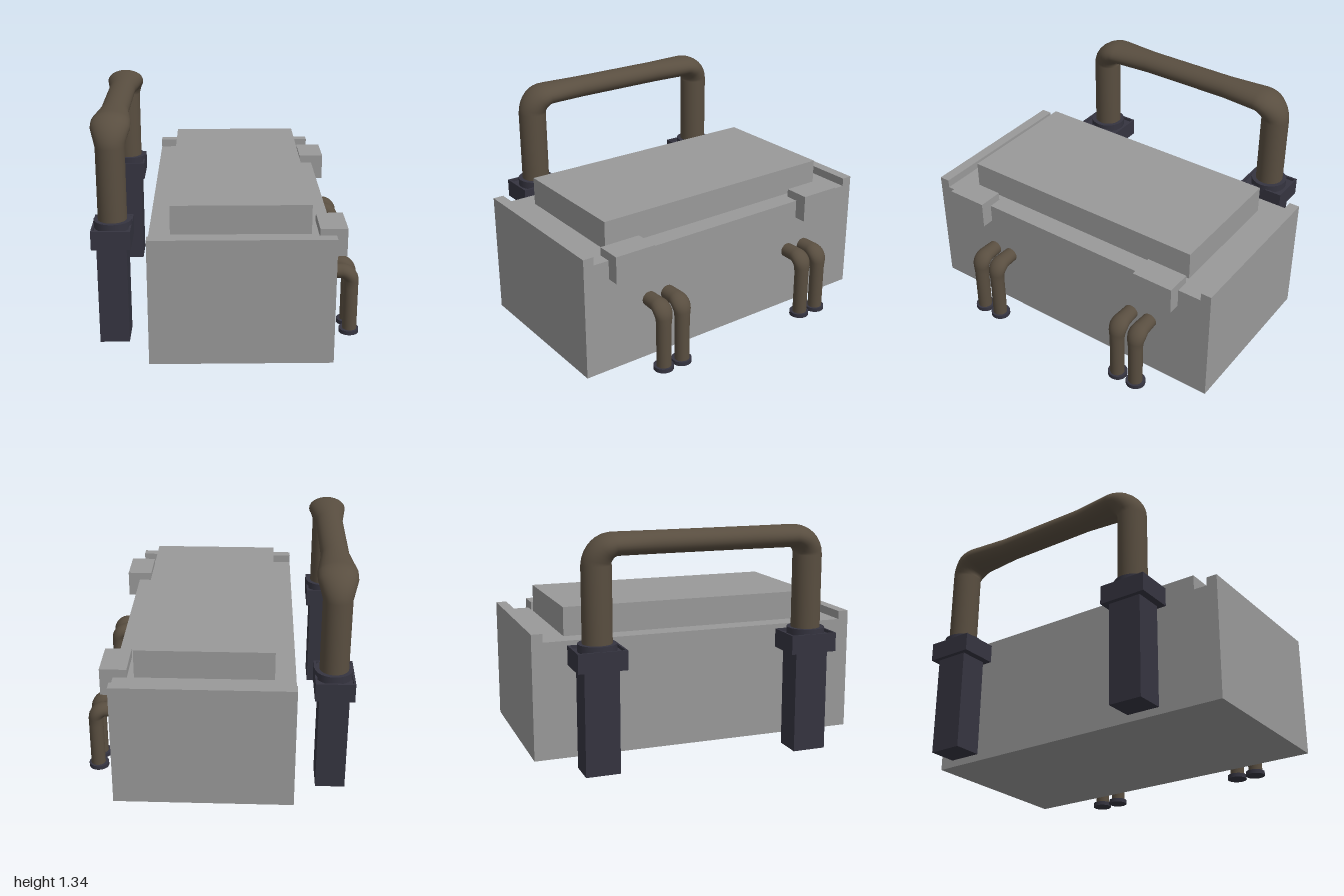
import * as THREE from 'three';

const V = (x, y, z) => new THREE.Vector3(x, y, z);

// Oval pipe swept along a planar path; w is the unit vector across the bend plane.
// Each station: { p: centre, t: tangent, a: in-plane radius, b: radius along w }
function sweep(stations, w, sides) {
  const pos = [], idx = [];
  stations.forEach(({ p, t, a, b }, i) => {
    const n = w.clone().cross(t).normalize();
    for (let j = 0; j < sides; j++) {
      const th = (j / sides) * Math.PI * 2;
      const q = p.clone().addScaledVector(n, Math.cos(th) * a).addScaledVector(w, Math.sin(th) * b);
      pos.push(q.x, q.y, q.z);
      if (i === stations.length - 1) continue;
      const k = i * sides + j, k1 = i * sides + (j + 1) % sides;
      idx.push(k, k1, k + sides, k1, k1 + sides, k + sides);
    }
  });
  const g = new THREE.BufferGeometry();
  g.setAttribute('position', new THREE.Float32BufferAttribute(pos, 3));
  g.setIndex(idx);
  g.computeVertexNormals();
  return g;
}

// Quarter bend stations from p0 (heading d0) to p1 (heading d1), radii blended by shape(s)
function bend(p0, d0, p1, d1, shape, steps = 8) {
  const out = [];
  const delta = p1.clone().sub(p0);
  const u = Math.abs(delta.dot(d0)), v = Math.abs(delta.dot(d1));
  for (let i = 0; i <= steps; i++) {
    const s = i / steps, th = s * Math.PI / 2;
    const p = p0.clone().addScaledVector(d0, u * Math.sin(th)).addScaledVector(d1, v * (1 - Math.cos(th)));
    const t = d0.clone().multiplyScalar(Math.cos(th)).addScaledVector(d1, Math.sin(th));
    out.push({ p, t, ...shape(s) });
  }
  return out;
}

export function createModel() {
  const model = new THREE.Group();
  const grey = new THREE.MeshStandardMaterial({ color: 0x999999 });
  grey.name = 'casing grey';
  const brown = new THREE.MeshStandardMaterial({ color: 0x594e40 });
  brown.name = 'pipe brown';
  const dark = new THREE.MeshStandardMaterial({ color: 0x353440 });
  dark.name = 'post dark';

  const add = (name, geo, mat, parent = model) => {
    const m = new THREE.Mesh(geo, mat);
    m.name = name;
    parent.add(m);
    return m;
  };
  const box = (name, mat, x0, x1, y0, y1, z0, z1) => {
    const m = add(name, new THREE.BoxGeometry(x1 - x0, y1 - y0, z1 - z0), mat);
    m.position.set((x0 + x1) / 2, (y0 + y1) / 2, (z0 + z1) / 2);
    return m;
  };
  const disc = (name, r, y0, y1, x, z) => {
    const m = add(name, new THREE.CylinderGeometry(r, r, y1 - y0, 24), dark);
    m.position.set(x, (y0 + y1) / 2, z);
  };

  // Casing: side profile with raised lips at both ends, extruded across x
  const profile = new THREE.Shape([
    [-1, 0.02], [1, 0.02], [1, 0.76], [0.935, 0.76], [0.935, 0.71],
    [-0.935, 0.71], [-0.935, 0.76], [-1, 0.76],
  ].map(([z, y]) => new THREE.Vector2(-z, y)));
  const casing = add('casing', new THREE.ExtrudeGeometry(profile, { depth: 1.03, bevelEnabled: false }), grey);
  casing.rotation.y = Math.PI / 2;
  casing.position.x = -0.45;
  box('lid', grey, -0.33, 0.46, 0.7, 0.88, -0.785, 0.785);
  box('frontClamp', grey, 0.5, 0.655, 0.597, 0.76, 0.585, 0.84);
  box('backClamp', grey, 0.5, 0.655, 0.597, 0.76, -0.79, -0.535);

  // Posts with shallow recessed caps and pipe collars
  const px = -0.667, ends = [['front', 0.592], ['back', -0.68]];
  for (const [side, z] of ends) {
    box(side + 'Post', dark, px - 0.086, px + 0.086, 0, 0.6, z - 0.1, z + 0.1);
    box(side + 'PostCap', dark, px - 0.112, px + 0.112, 0.597, 0.69, z - 0.141, z + 0.141);
    const rim = new THREE.Shape([[-1, -1], [1, -1], [1, 1], [-1, 1]]
      .map(([x, y]) => new THREE.Vector2(x * 0.112, y * 0.141)));
    rim.holes.push(new THREE.Path([[-1, -1], [-1, 1], [1, 1], [1, -1]]
      .map(([x, y]) => new THREE.Vector2(x * 0.1, y * 0.129))));
    const m = add(side + 'CapRim', new THREE.ExtrudeGeometry(rim, { depth: 0.018, bevelEnabled: false }), dark);
    m.rotation.x = -Math.PI / 2;
    m.position.set(px, 0.69, z);
    disc(side + 'PipeCollar', 0.11, 0.685, 0.735, px + 0.004, z);
  }

  // Large overhead pipe: round risers, wide elbows, flattened span
  const up = V(0, 1, 0), down = V(0, -1, 0), back = V(0, 0, -1), right = V(1, 0, 0);
  const swell = (s) => ({
    a: 0.085 - 0.02 * s,
    b: 0.084 + 0.029 * Math.min(1, s * 1.6),
  });
  const [zf, zb] = [0.59, -0.68], ox = -0.665;
  add('overheadPipe', sweep([
    { p: V(ox, 0.7, zf), t: up, a: 0.085, b: 0.084 },
    ...bend(V(ox, 1.165, zf), up, V(ox, 1.275, zf - 0.11), back, swell),
    { p: V(ox, 1.275, 0.24), t: back, a: 0.065, b: 0.082 },
    { p: V(ox, 1.275, -0.33), t: back, a: 0.065, b: 0.082 },
    ...bend(V(ox, 1.275, zb + 0.11), back, V(ox, 1.165, zb), down, (s) => swell(1 - s)),
    { p: V(ox, 0.7, zb), t: down, a: 0.085, b: 0.084 },
  ], right, 28), brown);

  // Small drain pipes with foot flanges
  const across = V(0, 0, 1);
  [0.575, 0.447, -0.475, -0.605].forEach((z, i) => {
    add('drainPipe' + (i + 1), sweep([
      { p: V(0.56, 0.393, z), t: right, a: 0.043, b: 0.044 },
      ...bend(V(0.665, 0.393, z), right, V(0.722, 0.335, z), down, (s) => ({
        a: 0.043, b: 0.051 + 0.006 * Math.sin(s * Math.PI),
      })),
      { p: V(0.722, 0.29, z), t: down, a: 0.043, b: 0.044 },
      { p: V(0.722, 0.01, z), t: down, a: 0.043, b: 0.044 },
    ], across, 20), brown);
    disc('drainFlange' + (i + 1), 0.059, 0, 0.025, 0.718, z);
  });

  return model;
}
